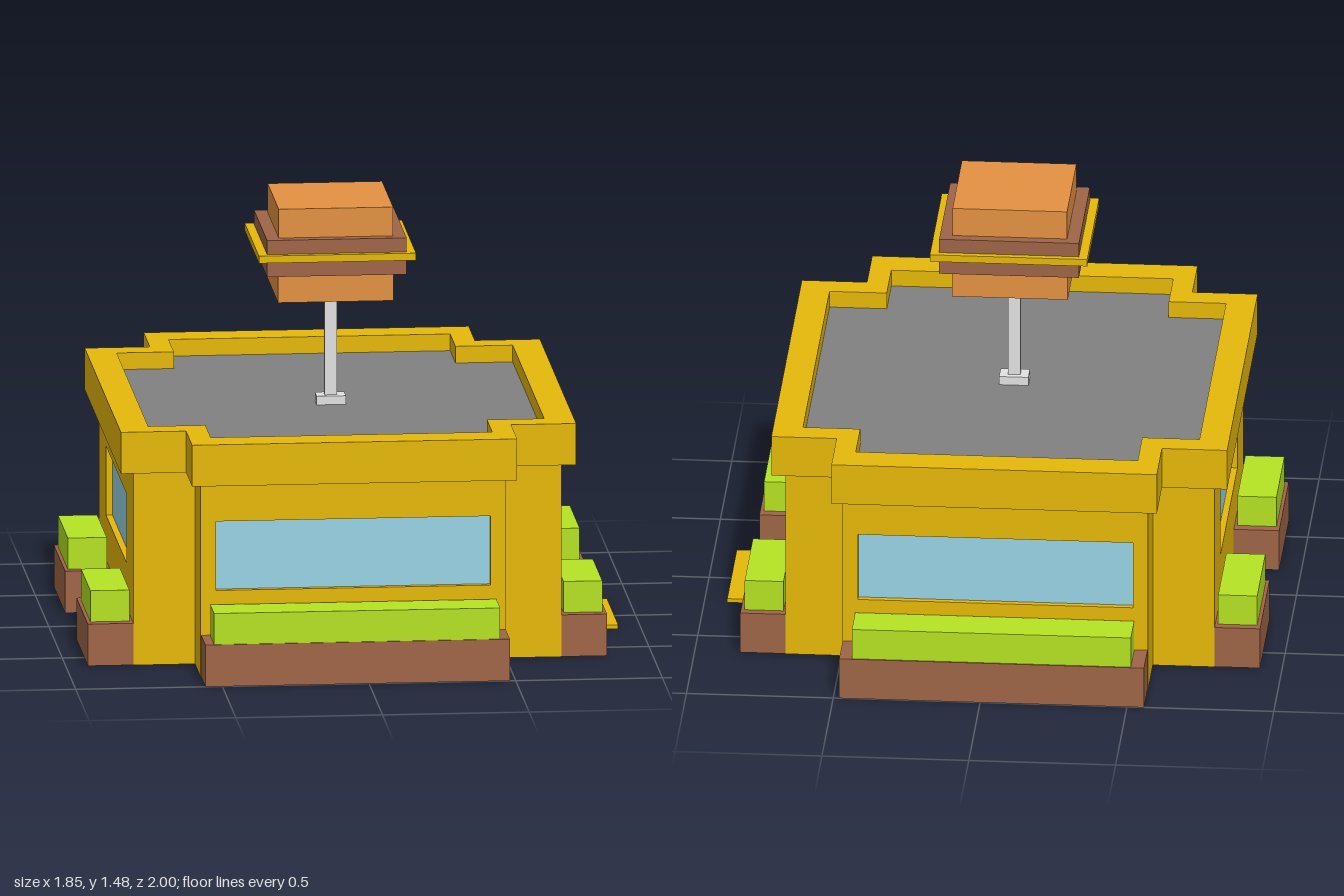
import * as THREE from 'three';

const mat = (name, color) => {
  const m = new THREE.MeshStandardMaterial({ color });
  m.name = name;
  return m;
};

export function createModel() {
  const yellow = mat('mustard wall', 0xe6b80a);
  const brown = mat('brown', 0x9f6547);
  const green = mat('hedge green', 0xb5e324);
  const grey = mat('roof grey', 0x818181);
  const glass = mat('window blue', 0x99d3e5);
  const orange = mat('bun orange', 0xe49142);
  const metal = mat('pole grey', 0xe2e2e2);

  const model = new THREE.Group();
  model.name = 'restaurant';
  const CX = -0.04; // building centre line

  const add = (name, geometry, material, parent = model) => {
    const mesh = new THREE.Mesh(geometry, material);
    mesh.name = name;
    parent.add(mesh);
    return mesh;
  };
  // Box given by its limits on each axis
  const box = (name, material, [x0, x1], [y0, y1], [z0, z1], parent) => {
    const mesh = add(name, new THREE.BoxGeometry(x1 - x0, y1 - y0, z1 - z0), material, parent);
    mesh.position.set((x0 + x1) / 2, (y0 + y1) / 2, (z0 + z1) / 2);
    return mesh;
  };

  // Plus-shaped plan: wide arm (a by b) crossed with a deep arm (c by d), half sizes
  const crossPoints = (a, b, c, d) => [
    [a, -b], [a, b], [c, b], [c, d], [-c, d], [-c, b],
    [-a, b], [-a, -b], [-c, -b], [-c, -d], [c, -d], [c, -b],
  ].map(([x, y]) => new THREE.Vector2(x, y));
  const slab = (name, material, shape, y, height) => {
    const g = new THREE.ExtrudeGeometry(shape, { depth: height, bevelEnabled: false });
    g.rotateX(-Math.PI / 2);
    add(name, g, material).position.set(CX, y, 0);
  };

  // Wall core, parapet and sunken roof
  const D = 0.08;
  const H = 0.69;
  slab('wallCore', yellow, new THREE.Shape(crossPoints(0.73 - D, 0.635, 0.52, 0.845 - D)), 0, H);
  const rim = new THREE.Shape(crossPoints(0.776, 0.673, 0.554, 0.899));
  rim.holes.push(new THREE.Path(crossPoints(0.675, 0.585, 0.48, 0.782)));
  slab('parapet', yellow, rim, 0.674, 0.144);
  slab('roof', grey, new THREE.Shape(crossPoints(0.69, 0.6, 0.5, 0.8)), 0.7, 0.06);

  // Facade panel with openings [x0, x1, y0, y1, recess], each filled with a thin pane
  const facade = (name, halfWidth, openings, distance, angle) => {
    const group = new THREE.Group();
    group.name = name;
    const shape = new THREE.Shape();
    shape.moveTo(-halfWidth, 0).lineTo(halfWidth, 0).lineTo(halfWidth, H).lineTo(-halfWidth, H).closePath();
    for (const [x0, x1, y0, y1, recess] of openings) {
      const hole = new THREE.Path();
      hole.moveTo(x0, y0).lineTo(x0, y1).lineTo(x1, y1).lineTo(x1, y0).closePath();
      shape.holes.push(hole);
      box('pane', glass, [x0, x1], [y0, y1], [-recess - 0.008, -recess], group);
    }
    const g = new THREE.ExtrudeGeometry(shape, { depth: D, bevelEnabled: false });
    g.translate(0, 0, -D);
    add('wallPanel', g, yellow, group);
    group.position.set(CX + Math.sin(angle) * distance, 0, Math.cos(angle) * distance);
    group.rotation.y = angle;
    model.add(group);
  };
  const wide = [-0.468, 0.468, 0.3, 0.54, 0.022];
  facade('frontWall', 0.52, [wide], 0.845, 0);
  facade('backWall', 0.52, [wide], 0.845, Math.PI);
  facade('entranceWall', 0.635, [
    [-0.61, -0.235, 0.3, 0.538, 0.022],
    [0.235, 0.61, 0.3, 0.538, 0.022],
    [-0.212, 0.212, 0.012, 0.43, 0.063],
  ], 0.73, Math.PI / 2);
  facade('sideWall', 0.635, [[-0.38, 0.38, 0.3, 0.54, 0.022]], 0.73, -Math.PI / 2);
  box('doorStep', yellow, [0.62, 0.922], [0, 0.014], [-0.21, 0.21]);

  // Planters with hedges
  const potY = [0, 0.145];
  const hedgeY = [0.14, 0.253];
  box('frontPlanter', brown, [-0.558, 0.48], potY, [0.84, 1]);
  box('frontHedge', green, [-0.528, 0.447], hedgeY, [0.855, 0.996]);
  box('backPlanter', brown, [-0.558, 0.48], potY, [-1, -0.84]);
  box('backHedge', green, [-0.513, 0.437], hedgeY, [-0.995, -0.85]);
  for (const s of [-1, 1]) {
    const zPot = s > 0 ? [0.212, 0.633] : [-0.633, -0.212];
    const zHedge = s > 0 ? [0.247, 0.597] : [-0.603, -0.243];
    box('leftPlanter', brown, [0.68, 0.845], potY, zPot);
    box('leftHedge', green, [0.7, 0.832], hedgeY, zHedge);
    box('rightPlanter', brown, [-0.925, -0.76], potY, zPot);
    box('rightHedge', green, [-0.913, -0.78], hedgeY, zHedge);
  }

  // Burger sign on a pole
  const centred = (name, material, w, d, y) =>
    box(name, material, [CX - w, CX + w], y, [-d, d]);
  centred('poleBase', metal, 0.05, 0.035, [0.755, 0.79]);
  centred('pole', metal, 0.021, 0.014, [0.78, 1.16]);
  centred('bottomBun', orange, 0.197, 0.206, [1.155, 1.253]);
  centred('patty', brown, 0.238, 0.242, [1.253, 1.38]);
  centred('cheese', yellow, 0.268, 0.264, [1.306, 1.331]);
  centred('topBun', orange, 0.195, 0.206, [1.38, 1.48]);

  return model;
}
